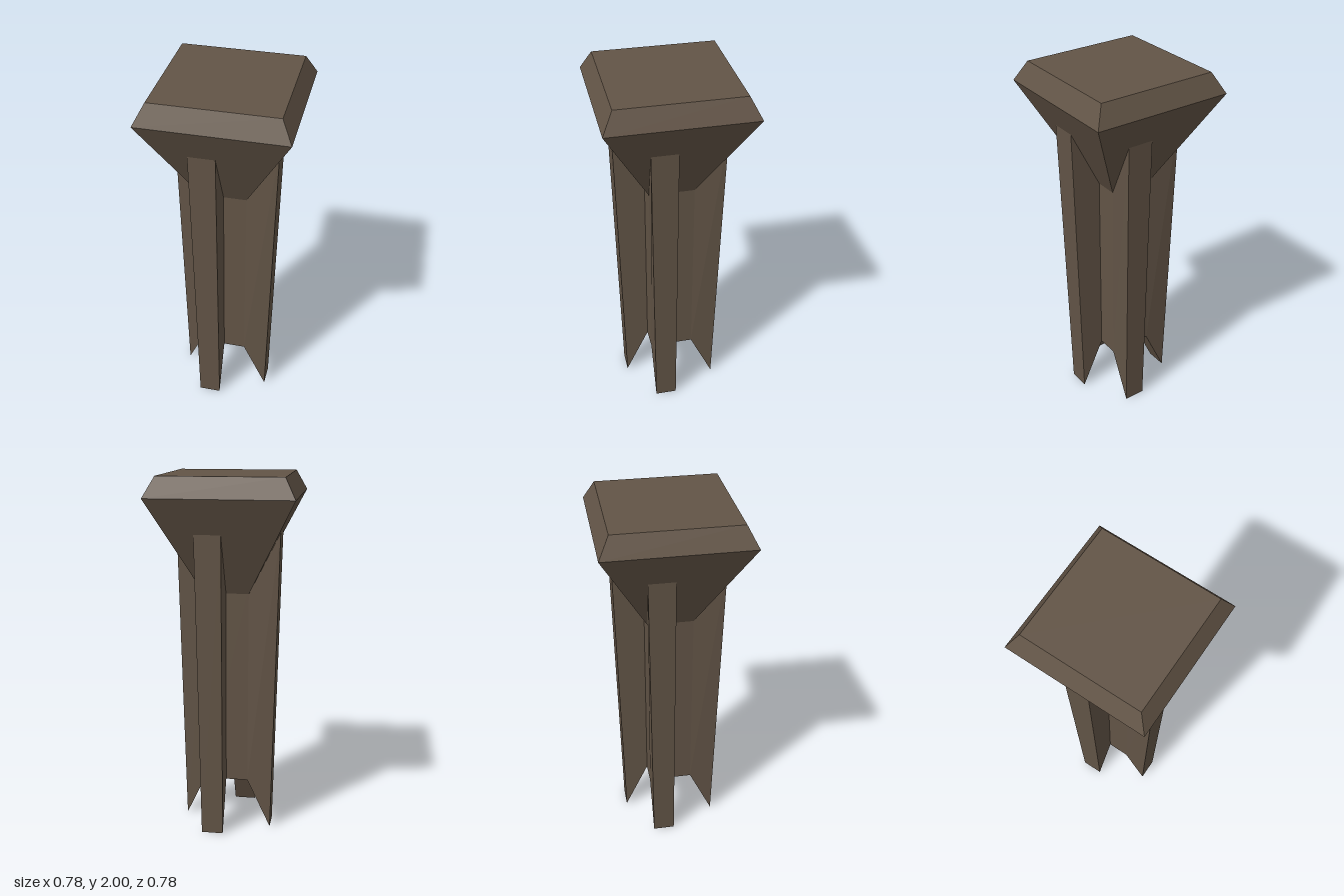
import * as THREE from 'three';

// Flat-faced solid lofted through four-cornered rings, listed bottom to top,
// each ring counter-clockwise as seen from above.
function loft(rings) {
  const pos = [];
  const quad = (a, b, c, d) => pos.push(...a, ...b, ...c, ...a, ...c, ...d);
  for (let r = 0; r < rings.length - 1; r++) {
    const lo = rings[r], hi = rings[r + 1];
    for (let i = 0; i < 4; i++) {
      const j = (i + 1) % 4;
      quad(lo[i], lo[j], hi[j], hi[i]);
    }
  }
  quad(...rings[rings.length - 1]);
  quad(...[...rings[0]].reverse());
  const geometry = new THREE.BufferGeometry();
  geometry.setAttribute('position', new THREE.Float32BufferAttribute(pos, 3));
  geometry.computeVertexNormals();
  return geometry;
}

// Square ring of half width h at height y
const square = (h, y) => [[h, y, h], [h, y, -h], [-h, y, -h], [-h, y, h]];

// Ring of a fin: root and tip each given as [distance out, height, width]
const finRing = ([r0, y0, w0], [r1, y1, w1]) =>
  [[0, y1, r1], [0, y0, r0], [-w0, y0, r0], [-w1, y1, r1]];

export function createModel() {
  const group = new THREE.Group();
  group.name = 'pillar';
  const wood = new THREE.MeshStandardMaterial({ color: 0x625446 });
  wood.name = 'dark brown';

  const add = (name, geometry) => {
    const mesh = new THREE.Mesh(geometry, wood);
    mesh.name = name;
    group.add(mesh);
    return mesh;
  };

  // Square core between the fins
  add('core', loft([square(0.122, 0.28), square(0.125, 1.42)]));

  // Flared capital with a bevelled top
  add('capital', loft([square(0.123, 1.36), square(0.392, 1.89), square(0.334, 2)]));

  // Four offset fins in a pinwheel, pointed at the foot, tucked into the capital
  const fin = loft([
    finRing([0.122, 0.28, 0.122], [0.253, 0, 0.12]),
    finRing([0.125, 1.42, 0.125], [0.296, 1.72, 0.145]),
  ]);
  ['frontFin', 'leftFin', 'backFin', 'rightFin'].forEach((name, i) => {
    add(name, fin).rotation.y = i * Math.PI / 2;
  });

  return group;
}
